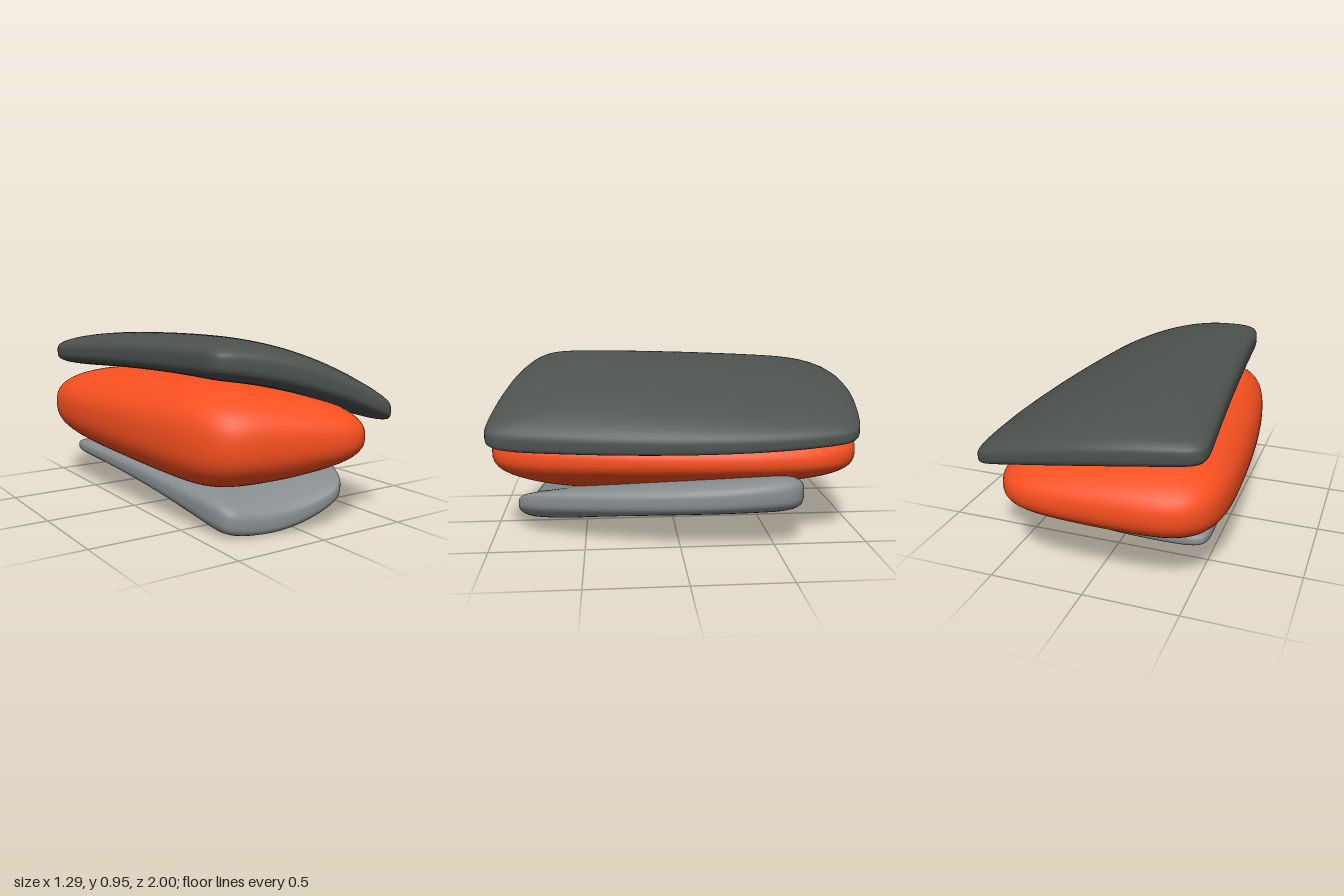
import * as THREE from 'three';
import { mergeVertices } from 'three/addons/utils/BufferGeometryUtils.js';

// Quadratic weights for a value running -1, 0, 1
const weights = (t) => [t * (t - 1) / 2, 1 - t * t, t * (t + 1) / 2];

// Rounded slab: a superellipsoid bent through a 3 x 3 net.
// Rows run back to front, columns from -x to +x; each point is [x, y, z, half thickness].
function slab(name, color, net, planPower, edgePower) {
  let geo = new THREE.BoxGeometry(2, 2, 2, 36, 16, 44);
  geo.deleteAttribute('uv');
  geo.deleteAttribute('normal');
  geo = mergeVertices(geo);
  const pos = geo.attributes.position;
  for (let i = 0; i < pos.count; i++) {
    const a = pos.getX(i), b = pos.getY(i), c = pos.getZ(i);
    const plan = Math.pow(Math.abs(a) ** planPower + Math.abs(c) ** planPower, 1 / planPower);
    const s = Math.pow(plan ** edgePower + Math.abs(b) ** edgePower, 1 / edgePower);
    const wu = weights(a / s), ww = weights(c / s);
    const p = [0, 0, 0, 0];
    net.forEach((row, r) => row.forEach((pt, k) => pt.forEach((v, j) => {
      p[j] += v * ww[r] * wu[k];
    })));
    pos.setXYZ(i, p[0], p[1] + (b / s) * p[3], p[2]);
  }
  geo.computeVertexNormals();
  const mesh = new THREE.Mesh(geo, new THREE.MeshStandardMaterial({ color }));
  mesh.name = name;
  return mesh;
}

export function createModel() {
  const group = new THREE.Group();
  group.name = 'layeredCushion';

  // Arched dark cover, skewed at the front and drooping on one side
  group.add(slab('topCover', 0x4d524f, [
    [[-0.585, 0.785, -0.90, 0.09], [0.00, 0.745, -0.99, 0.11], [0.595, 0.605, -0.91, 0.065]],
    [[-0.51, 0.835, -0.05, 0.10], [0.06, 0.79, 0.00, 0.11], [0.635, 0.57, -0.10, 0.085]],
    [[-0.46, 0.86, 0.75, 0.10], [0.00, 0.775, 0.90, 0.12], [0.45, 0.575, 1.02, 0.09]],
  ], 20, 3.8));

  // Plump filling, thinner towards +x
  group.add(slab('middleCushion', 0xf95020, [
    [[-0.645, 0.48, -0.96, 0.23], [-0.05, 0.48, -1.00, 0.23], [0.51, 0.46, -0.96, 0.15]],
    [[-0.62, 0.47, -0.05, 0.26], [-0.04, 0.465, 0.00, 0.26], [0.53, 0.46, -0.05, 0.13]],
    [[-0.51, 0.465, 0.81, 0.265], [-0.11, 0.465, 0.925, 0.285], [0.35, 0.47, 1.06, 0.17]],
  ], 6, 2.7));

  // Cupped grey base, lowest at the front -x corner
  group.add(slab('bottomPad', 0x888e90, [
    [[-0.55, 0.23, -0.71, 0.055], [0.00, 0.225, -0.675, 0.095], [0.595, 0.31, -0.65, 0.13]],
    [[-0.495, 0.19, 0.02, 0.08], [0.05, 0.215, 0.06, 0.09], [0.595, 0.275, 0.00, 0.10]],
    [[-0.42, 0.095, 0.77, 0.115], [-0.08, 0.075, 0.835, 0.11], [0.245, 0.20, 0.88, 0.085]],
  ], 14, 3.6));

  return group;
}
